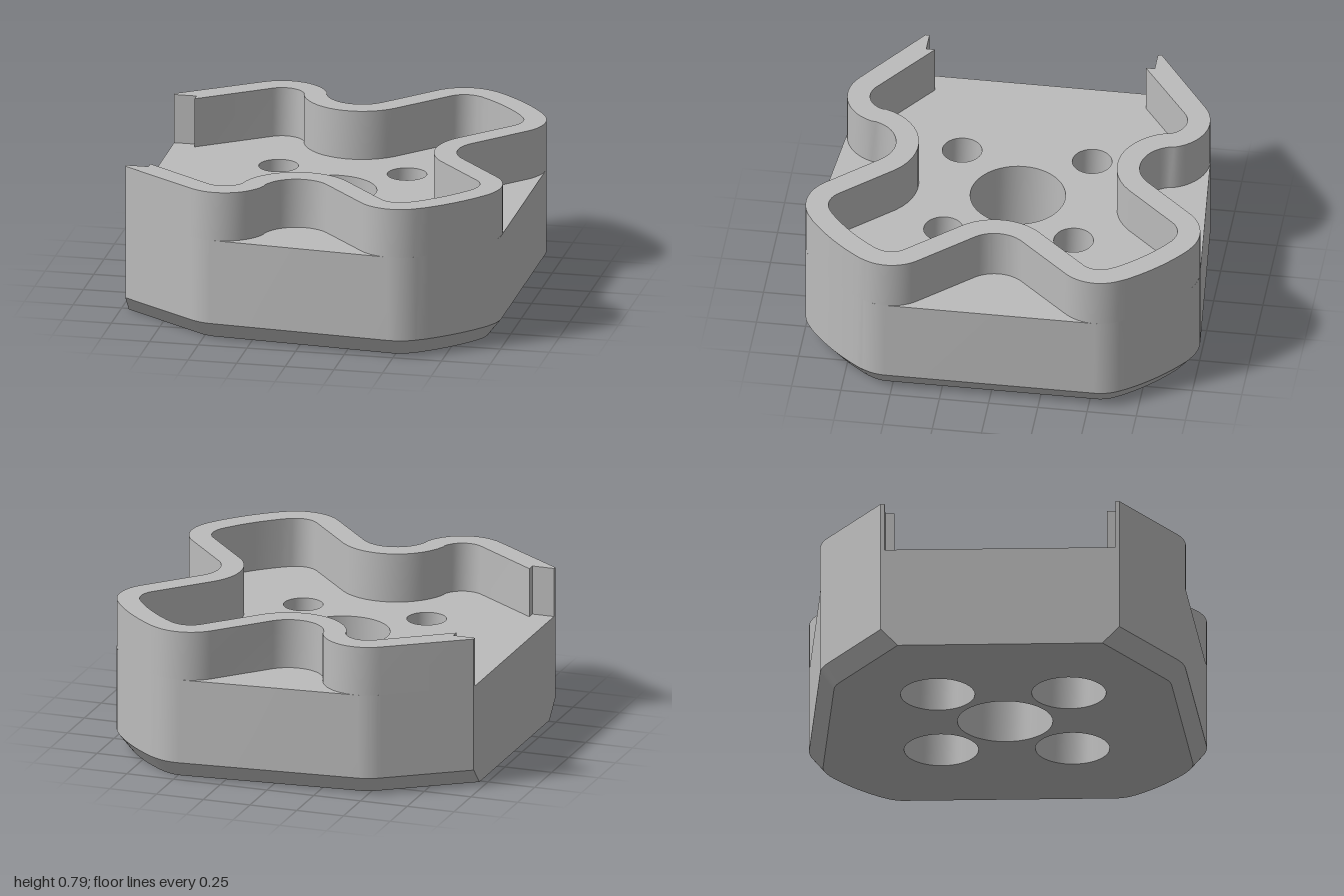
import * as THREE from 'three';
import { toCreasedNormals } from 'three/addons/utils/BufferGeometryUtils.js';

const FLOOR = 0.53, TOP = 0.785, CHAMFER_Y = 0.09, INSET = 0.07, LEDGE = 0.33, WALL = 0.115;
const CX = -0.04; // centre of the bores

// Points [x, z] on an arc, angles in degrees
function arc(cx, cz, r, from, to, n = 14) {
  return Array.from({ length: n + 1 }, (_, i) => {
    const a = THREE.MathUtils.degToRad(from + (to - from) * i / n);
    return [cx + r * Math.cos(a), cz + r * Math.sin(a)];
  });
}

const circle = (cx, cz, r) => arc(cx, cz, r, 0, 360, 48).slice(0, -1);

// Front half plus its mirror image, without repeated points
function mirrored(half) {
  const all = [...half, ...half.map(([x, z]) => [x, -z]).reverse()];
  return all.filter((p, i) => i === 0 || Math.hypot(p[0] - all[i - 1][0], p[1] - all[i - 1][1]) > 0.004);
}

// Rounded outer corner shared by the base and the wall
const corner = (d, start, end) => [
  ...arc(0.49, 0.77, 0.23 - d, start, 55.5),
  ...arc(CX, 0, 1.167 - d, 55.5, 34.5),
  ...arc(0.73, 0.53, 0.23 - d, 34.5, end),
];

// Wavy wall line, moved inward by d
const wave = (d) => mirrored([
  ...arc(-0.43, 0.69, 0.23 - d, 126, 20),
  ...arc(CX, 0.80, 0.18 + d, 198, 315),
  ...corner(d, 135, -45),
  ...arc(0.80, 0, 0.18 + d, 135, 180),
]);

// Move each edge of a convex loop inward, keeping the flat left edge in place
function insetLoop(loop, d) {
  const n = loop.length;
  const edges = loop.map((p, i) => {
    const q = loop[(i + 1) % n];
    const l = Math.hypot(q[0] - p[0], q[1] - p[1]);
    const nx = -(q[1] - p[1]) / l, nz = (q[0] - p[0]) / l;
    return { nx, nz, c: nx * p[0] + nz * p[1] - (nx < -0.99 ? 0 : d) };
  });
  return loop.map((p, i) => {
    const a = edges[(i + n - 1) % n], b = edges[i];
    const det = a.nx * b.nz - a.nz * b.nx;
    if (Math.abs(det) < 1e-4) return [p[0] - a.nx * d, p[1] - a.nz * d];
    return [(a.c * b.nz - a.nz * b.c) / det, (a.nx * b.c - a.c * b.nx) / det];
  });
}

// Side surface between two matching loops
function sides(low, y0, high, y1) {
  const pos = [];
  low.forEach((a, i) => {
    const j = (i + 1) % low.length;
    const A = [a[0], y0, a[1]], B = [low[j][0], y0, low[j][1]];
    const C = [high[j][0], y1, high[j][1]], D = [high[i][0], y1, high[i][1]];
    pos.push(...A, ...B, ...C, ...A, ...C, ...D);
  });
  const g = new THREE.BufferGeometry();
  g.setAttribute('position', new THREE.Float32BufferAttribute(pos, 3));
  g.computeVertexNormals();
  return toCreasedNormals(g, Math.PI / 6);
}

// Flat face with holes, looking up or down
function cap(loop, y, holes = [], up = true) {
  const pts = (l) => l.map(([x, z]) => new THREE.Vector2(x, up ? -z : z));
  const shape = new THREE.Shape(pts(loop));
  shape.holes = holes.map((h) => new THREE.Path(pts(h)));
  return new THREE.ShapeGeometry(shape).rotateX(up ? -Math.PI / 2 : Math.PI / 2).translate(0, y, 0);
}

export function createModel() {
  const model = new THREE.Group();
  model.name = 'housing';
  const grey = new THREE.MeshStandardMaterial({ color: 0xbcbcbc });
  grey.name = 'grey';
  const add = (name, geometry) => {
    const mesh = new THREE.Mesh(geometry, grey);
    mesh.name = name;
    model.add(mesh);
  };

  // Base block with chamfered bottom edge
  const outline = mirrored([[-0.96, 0.60], ...arc(-0.43, 0.69, 0.23, 126, 95), ...corner(0, 95, 0)]);
  const foot = insetLoop(outline, INSET);
  const bore = circle(CX, 0, 0.24);
  const spots = [[-0.33, -0.33], [0.33, -0.33], [-0.33, 0.33], [0.33, 0.33]].map(([x, z]) => [CX + x, z]);
  const screwHoles = spots.map(([x, z]) => circle(x, z, 0.1));
  const counterbores = spots.map(([x, z]) => circle(x, z, 0.187));
  add('baseSides', sides(outline, CHAMFER_Y, outline, FLOOR));
  add('baseChamfer', sides(foot, 0, outline, CHAMFER_Y));
  add('baseFloor', cap(outline, FLOOR, [bore, ...screwHoles]));
  add('baseUnderside', cap(foot, 0, [bore, ...counterbores], false));

  // Centre bore and four stepped screw holes
  add('centreBore', sides(bore, 0, bore, FLOOR));
  spots.forEach((_, i) => {
    add('screwHole', sides(screwHoles[i], LEDGE, screwHoles[i], FLOOR));
    add('counterbore', sides(counterbores[i], 0, counterbores[i], LEDGE));
    add('counterboreLedge', cap(counterbores[i], LEDGE, [screwHoles[i]], false));
  });

  // Wavy upright wall, open on the left with notched ends
  const tip = [[-0.96, -0.58], [-0.845, -0.58], [-0.845, -0.535]];
  const wall = [
    [-0.96, 0.60], ...wave(0), [-0.96, -0.60],
    ...tip, ...wave(WALL).reverse(), ...tip.map(([x, z]) => [x, -z]).reverse(),
  ];
  add('wallSides', sides(wall, FLOOR, wall, TOP));
  add('wallRim', cap(wall, TOP));
  return model;
}
